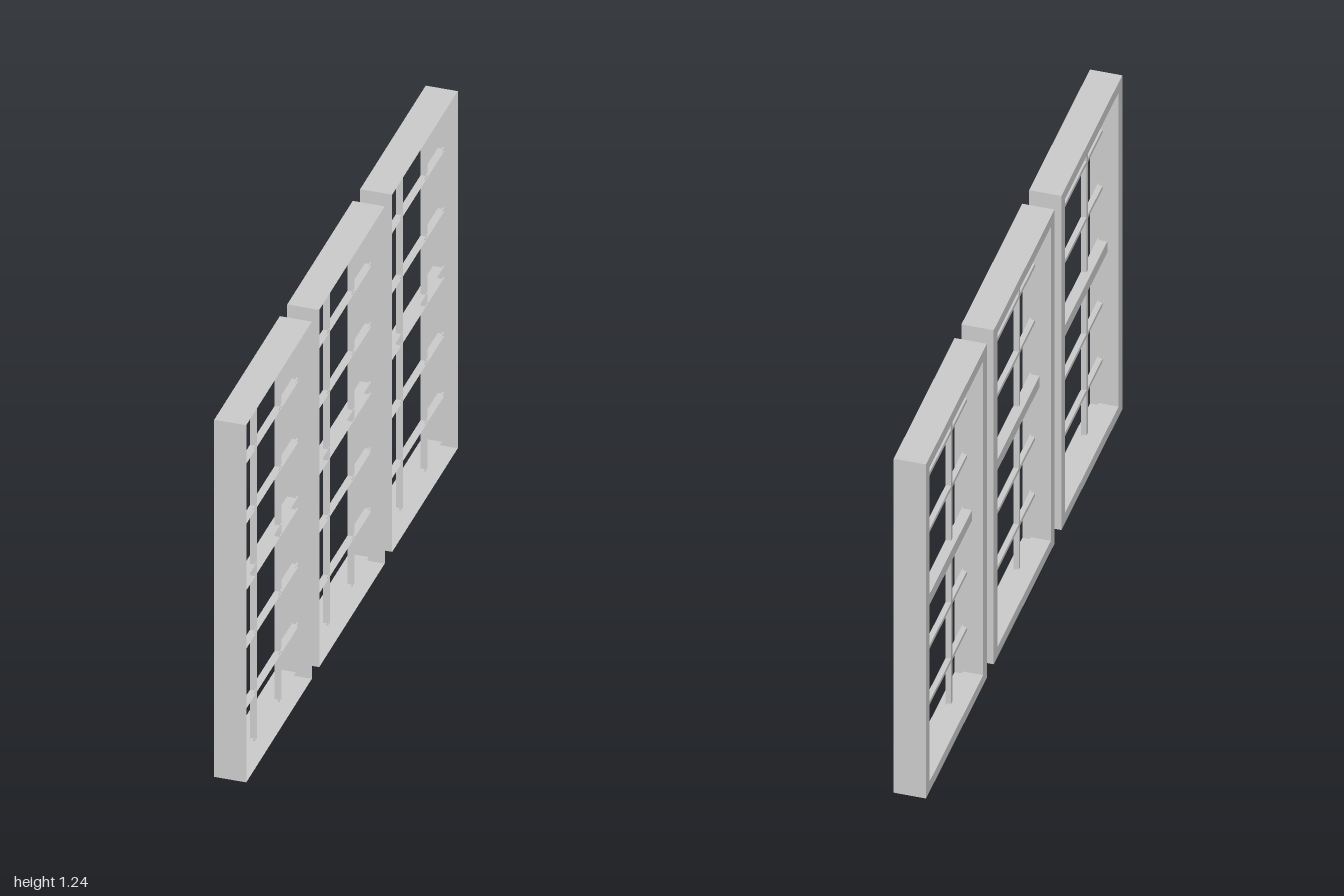
import * as THREE from 'three';

const mat = new THREE.MeshStandardMaterial({ color: 0xcccccc, side: THREE.DoubleSide });
const PX = 0, NX = 1, PY = 2, NY = 3, PZ = 4, NZ = 5;

// Thin-walled box spanning x0..x1, with only the listed sides kept
function shell(name, x0, x1, y, z, h, d, sides) {
  const geo = new THREE.BoxGeometry(x1 - x0, h, d);
  const all = Array.from(geo.index.array);
  geo.setIndex(sides.flatMap(s => all.slice(s * 6, s * 6 + 6)));
  geo.clearGroups();
  const mesh = new THREE.Mesh(geo, mat);
  mesh.name = name;
  mesh.position.set((x0 + x1) / 2, y, z);
  return mesh;
}

function createWindow() {
  const H = 1.24, W = 0.62, border = 0.037, mid = H / 2;
  const win = new THREE.Group();

  // Outer casing and the inner reveal, both open along x
  const around = [PY, NY, PZ, NZ];
  win.add(shell('outerCasing', -0.05, 0.05, mid, 0, H, W, around));
  win.add(shell('innerReveal', -0.05, 0.0125, mid, 0, H - 2 * border, W - 2 * border, around));

  // Flat border joining casing and reveal on the outer side
  const shape = new THREE.Shape();
  const rect = (path, w, h) => path.moveTo(-w, -h).lineTo(w, -h).lineTo(w, h).lineTo(-w, h).closePath();
  rect(shape, W / 2, H / 2);
  const hole = new THREE.Path();
  rect(hole, W / 2 - border, H / 2 - border);
  shape.holes.push(hole);
  const face = new THREE.Mesh(new THREE.ShapeGeometry(shape), mat);
  face.name = 'frameBorder';
  face.rotation.y = -Math.PI / 2;
  face.position.set(-0.05, mid, 0);
  win.add(face);

  // Meeting rail and glazing bars: channels open toward +x
  win.add(shell('meetingRail', -0.015, 0.017, 0.622, 0, 0.04, 0.564, [NX, PY, NY]));
  for (const y of [0.198, 0.406, 0.839, 1.048])
    win.add(shell('horizontalBar', 0, 0.017, y, 0, 0.013, 0.564, [NX, PY, NY]));
  for (const s of [-1, 1])
    win.add(shell('verticalBar', 0, 0.017, mid, s * 0.117, 1.182, 0.014, [NX, PZ, NZ]));
  return win;
}

export function createModel() {
  const model = new THREE.Group();
  model.name = 'windowRow';
  ['backWindow', 'middleWindow', 'frontWindow'].forEach((name, i) => {
    const win = createWindow();
    win.name = name;
    win.position.z = (i - 1) * 0.69;
    model.add(win);
  });
  return model;
}
